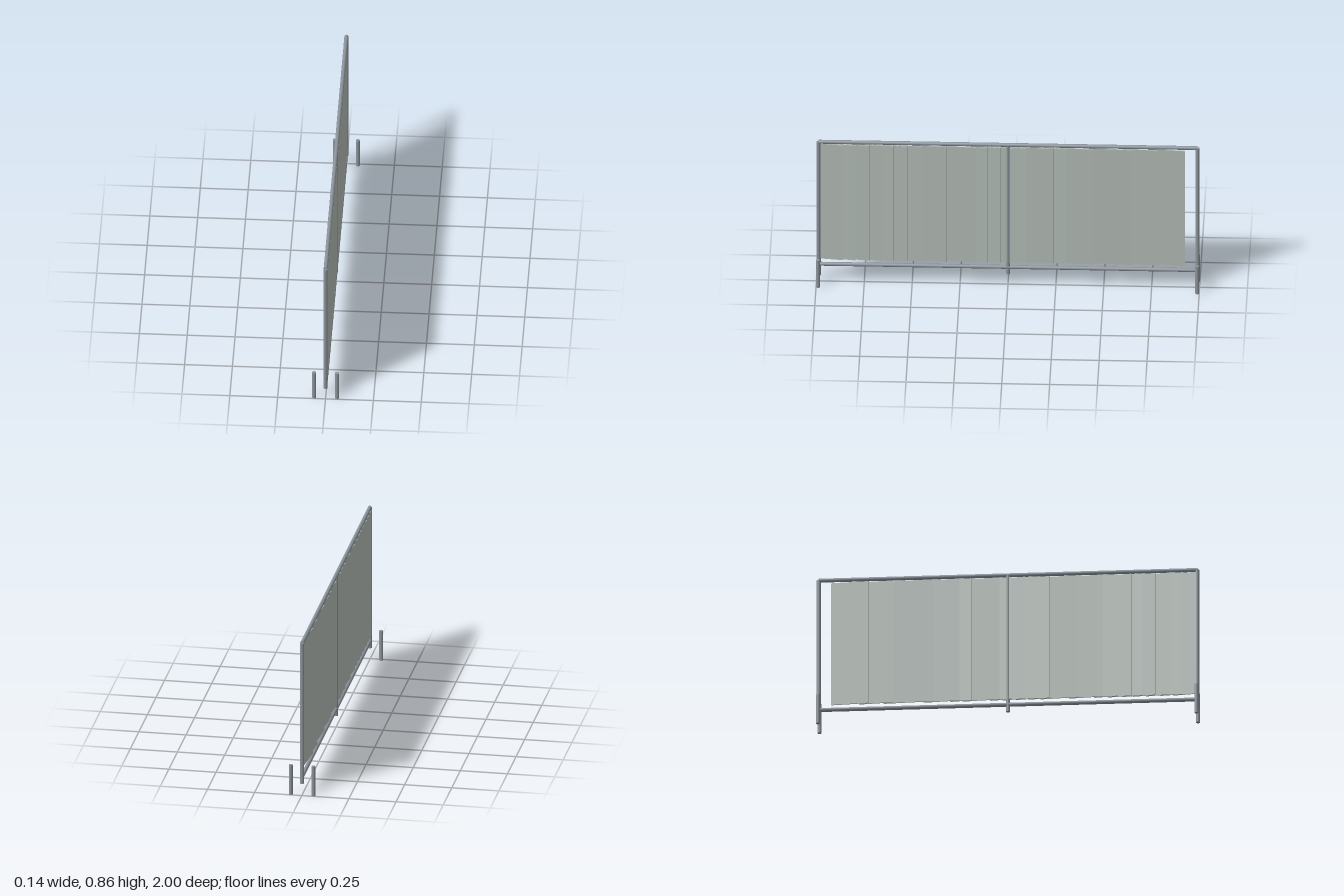
import * as THREE from 'three';

export function createModel() {
  const model = new THREE.Group();
  const steel = new THREE.MeshStandardMaterial({ color: 0x8b939a });
  steel.name = 'steel grey';
  const board = new THREE.MeshStandardMaterial({ color: 0xb2bbb6 });
  board.name = 'pale grey green';
  const R = 0.0105;

  function add(geometry, material, name, x, y, z) {
    const mesh = new THREE.Mesh(geometry, material);
    mesh.name = name;
    mesh.position.set(x, y, z);
    model.add(mesh);
    return mesh;
  }
  const upright = (name, x, z, y0, y1) =>
    add(new THREE.CylinderGeometry(R, R, y1 - y0, 16), steel, name, x, (y0 + y1) / 2, z);

  // Posts, with a pair of free-standing stakes beside each end post
  upright('middlePost', 0, 0, 0.065, 0.85);
  for (const end of [1, -1]) {
    upright('endPost', 0, end * 0.9895, 0.065, 0.85);
    for (const side of [1, -1]) upright('stake', side * 0.06, end * 0.9895, 0, 0.165);
  }

  // Rails between the end posts
  for (const [name, y] of [['topRail', 0.85], ['bottomRail', 0.105]]) {
    add(new THREE.CylinderGeometry(R, R, 1.979, 16), steel, name, 0, y, 0).rotation.x = Math.PI / 2;
  }

  // Overlapping upright boards, each tucked behind the one before it
  const edges = [0.985, 0.861, 0.796, 0.721, 0.651, 0.598, 0.523, 0.448, 0.319, 0.169, 0.105,
    0.04, -0.03, -0.094, -0.239, -0.303, -0.442, -0.651, -0.78, -0.925];
  const lean = 0.0075;
  for (let i = 1; i < edges.length; i++) {
    const back = Math.min(0.985, edges[i - 1] + 0.05);
    const front = edges[i];
    const width = back - front;
    const plank = add(new THREE.BoxGeometry(0.006, 0.7, width), board, 'board', 0, 0.485, (back + front) / 2);
    plank.rotation.y = -Math.atan2(2 * lean, width);
  }
  return model;
}
